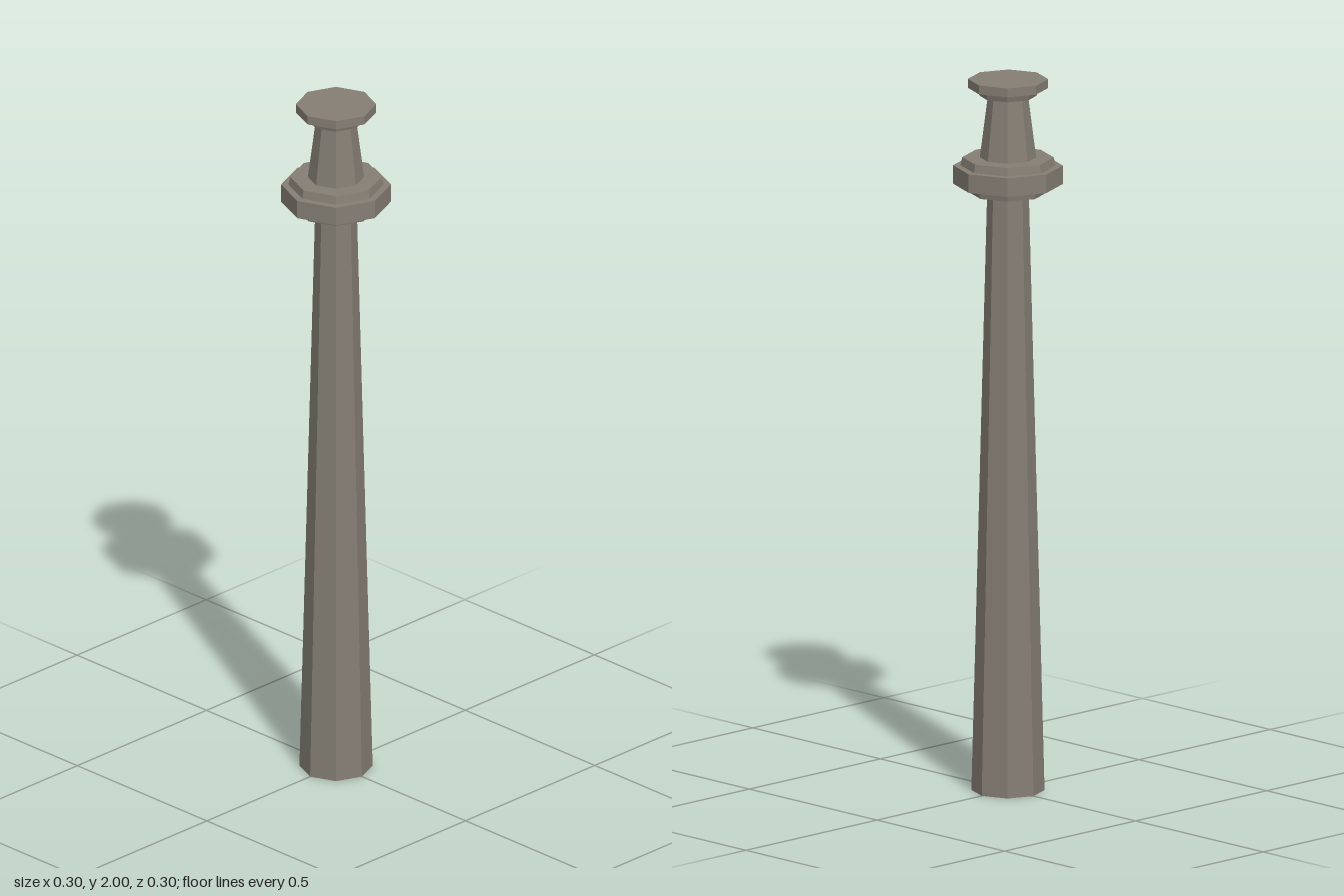
import * as THREE from 'three';

// Octagonal turned post: each section is [name, bottomY, topY, bottomRadius, topRadius]
const SECTIONS = [
  ['shaft', 0, 1.68, 0.1, 0.057],
  ['collarUnderside', 1.68, 1.705, 0.105, 0.11],
  ['collar', 1.705, 1.757, 0.15, 0.15],
  ['collarStep', 1.757, 1.78, 0.13, 0.125],
  ['neck', 1.78, 1.953, 0.077, 0.055],
  ['capStep', 1.953, 1.975, 0.078, 0.085],
  ['cap', 1.975, 2, 0.11, 0.11],
];

export function createModel() {
  const group = new THREE.Group();
  group.name = 'post';
  const material = new THREE.MeshStandardMaterial({ color: 0x857e74, flatShading: true });

  // Stack the sections, corners pointing along the axes
  for (const [name, y0, y1, r0, r1] of SECTIONS) {
    const mesh = new THREE.Mesh(new THREE.CylinderGeometry(r1, r0, y1 - y0, 8), material);
    mesh.position.y = (y0 + y1) / 2;
    mesh.name = name;
    group.add(mesh);
  }
  return group;
}
